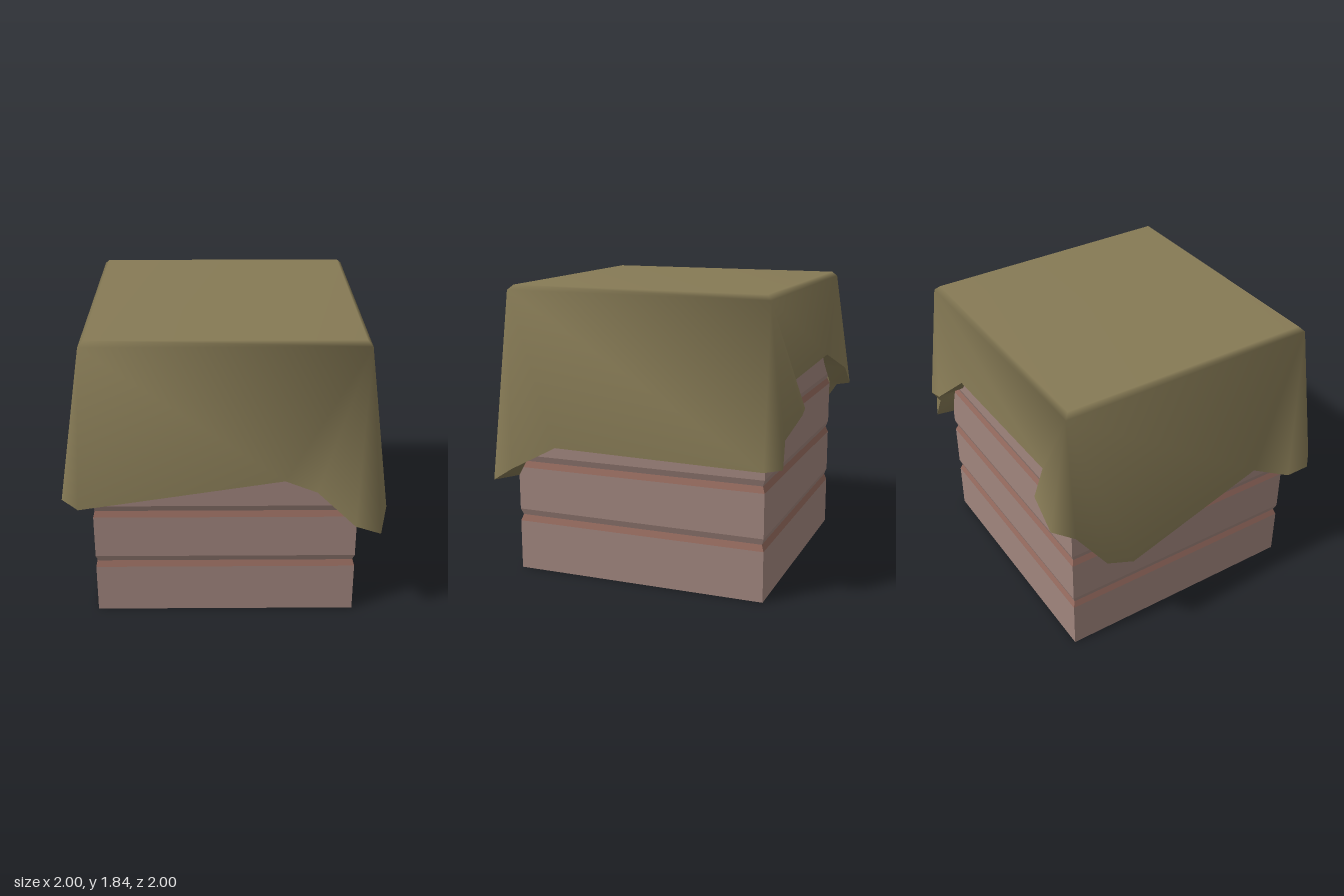
import * as THREE from 'three';

const BODY = 0.815; // half width of the crate

function meshFrom(name, points, index, material) {
  const g = new THREE.BufferGeometry();
  g.setAttribute('position', new THREE.Float32BufferAttribute(points.flat(), 3));
  g.setIndex(index);
  g.computeVertexNormals();
  const m = new THREE.Mesh(g, material);
  m.name = name;
  return m;
}

// Four-sided band between two square levels [halfWidth, y]
function band(name, [w0, y0], [w1, y1], material) {
  const ring = (w, y) => [[-w, y, w], [w, y, w], [w, y, -w], [-w, y, -w]];
  const points = [], index = [];
  const lo = ring(w0, y0), hi = ring(w1, y1);
  for (let i = 0; i < 4; i++) {
    const j = (i + 1) % 4, k = points.length;
    points.push(lo[i], lo[j], hi[j], hi[i]);
    index.push(k, k + 1, k + 2, k, k + 2, k + 3);
  }
  return meshFrom(name, points, index, material);
}

function cap(name, w, y, up, material) {
  const g = new THREE.PlaneGeometry(2 * w, 2 * w).rotateX(up ? -Math.PI / 2 : Math.PI / 2);
  const m = new THREE.Mesh(g, material);
  m.position.y = y;
  m.name = name;
  return m;
}

function createCrate() {
  const crate = new THREE.Group();
  crate.name = 'crate';
  const wood = new THREE.MeshStandardMaterial({ color: 0xa0857d });
  const grooveWood = new THREE.MeshStandardMaterial({ color: 0x93695d });
  const step = 0.36, inner = BODY - 0.014;
  for (let i = 0; i < 5; i++) {
    const y = i * step;
    const start = i === 0 ? 0 : y + 0.04;
    const end = i === 4 ? 1.8 : y + step - 0.04;
    crate.add(band('board', [BODY, start], [BODY, end], wood));
    // V groove above each board
    if (i < 4) {
      crate.add(band('grooveLower', [BODY, end], [inner, y + step], grooveWood));
      crate.add(band('grooveUpper', [inner, y + step], [BODY, y + step + 0.04], wood));
    }
  }
  crate.add(cap('crateBottom', BODY, 0, false, wood), cap('crateTop', BODY, 1.8, true, wood));
  return crate;
}

function createCloth() {
  const cloth = new THREE.Group();
  cloth.name = 'cloth';
  const fabric = new THREE.MeshStandardMaterial({ color: 0x867a55, side: THREE.DoubleSide });

  // Hem points that fan out from each top corner; the last point of a fan
  // is shared with the next corner.
  const fans = [
    // front, model's right
    [[-0.87, 0.88, 0.52], [-1, 0.85, 0.7], [-0.99, 0.84, 0.87], [-0.88, 0.83, 0.98], [0.36, 0.96, 0.87]],
    // front, model's left
    [[0.56, 0.87, 0.85], [0.78, 0.72, 1], [0.95, 0.62, 0.92], [1, 0.72, 0.76], [0.86, 0.84, 0.53],
      [0.93, 0.84, -0.84]],
    // back, model's left
    [[0.84, 0.84, -0.93], [0.77, 1, -0.92], [0.7, 1.14, -1], [0.6, 1.16, -0.99], [0.53, 1.26, -0.85],
      [-0.56, 1.29, -0.85]],
    // back, model's right
    [[-0.65, 1.19, -0.96], [-0.83, 1.05, -0.96], [-0.93, 1.02, -0.85], [-0.87, 0.64, -0.6],
      [-0.89, 0.58, -0.42]],
  ];
  const signs = [[-1, 1], [1, 1], [1, -1], [-1, -1]];
  const points = [
    ...signs.map(([x, z]) => [x * 0.81, 1.84, z * 0.81]), // top
    ...signs.map(([x, z]) => [x * 0.84, 1.81, z * 0.84]), // rounded edge
  ];
  const hem = fans.flat();
  const first = points.length, n = hem.length;
  points.push(...hem);

  const index = [0, 1, 2, 0, 2, 3];
  for (let i = 0; i < 4; i++) {
    const j = (i + 1) % 4;
    index.push(i, 4 + i, 4 + j, i, 4 + j, j);
  }
  let h = 0;
  fans.forEach((fan, c) => {
    // hanging fold around the corner
    const begin = c === 0 ? 0 : h - 1;
    const end = c === 3 ? n : h + fan.length - 1;
    for (let k = begin; k < end; k++) index.push(4 + c, first + k, first + (k + 1) % n);
    h += fan.length;
    // panel up to the next corner
    index.push(4 + c, first + end % n, 4 + (c + 1) % 4);
  });
  cloth.add(meshFrom('drape', points, index, fabric));

  // Underside of the hem, tucked back to the crate
  const clamp = (v) => THREE.MathUtils.clamp(v, -BODY, BODY);
  const under = [...hem, ...hem.map(([x, y, z]) => [clamp(x), y + 0.005, clamp(z)])];
  const underIndex = [];
  for (let k = 0; k < n; k++) {
    const l = (k + 1) % n;
    underIndex.push(k, n + k, n + l, k, n + l, l);
  }
  cloth.add(meshFrom('hemUnderside', under, underIndex, fabric));
  return cloth;
}

export function createModel() {
  const model = new THREE.Group();
  model.name = 'coveredCrate';
  model.add(createCrate(), createCloth());
  return model;
}
